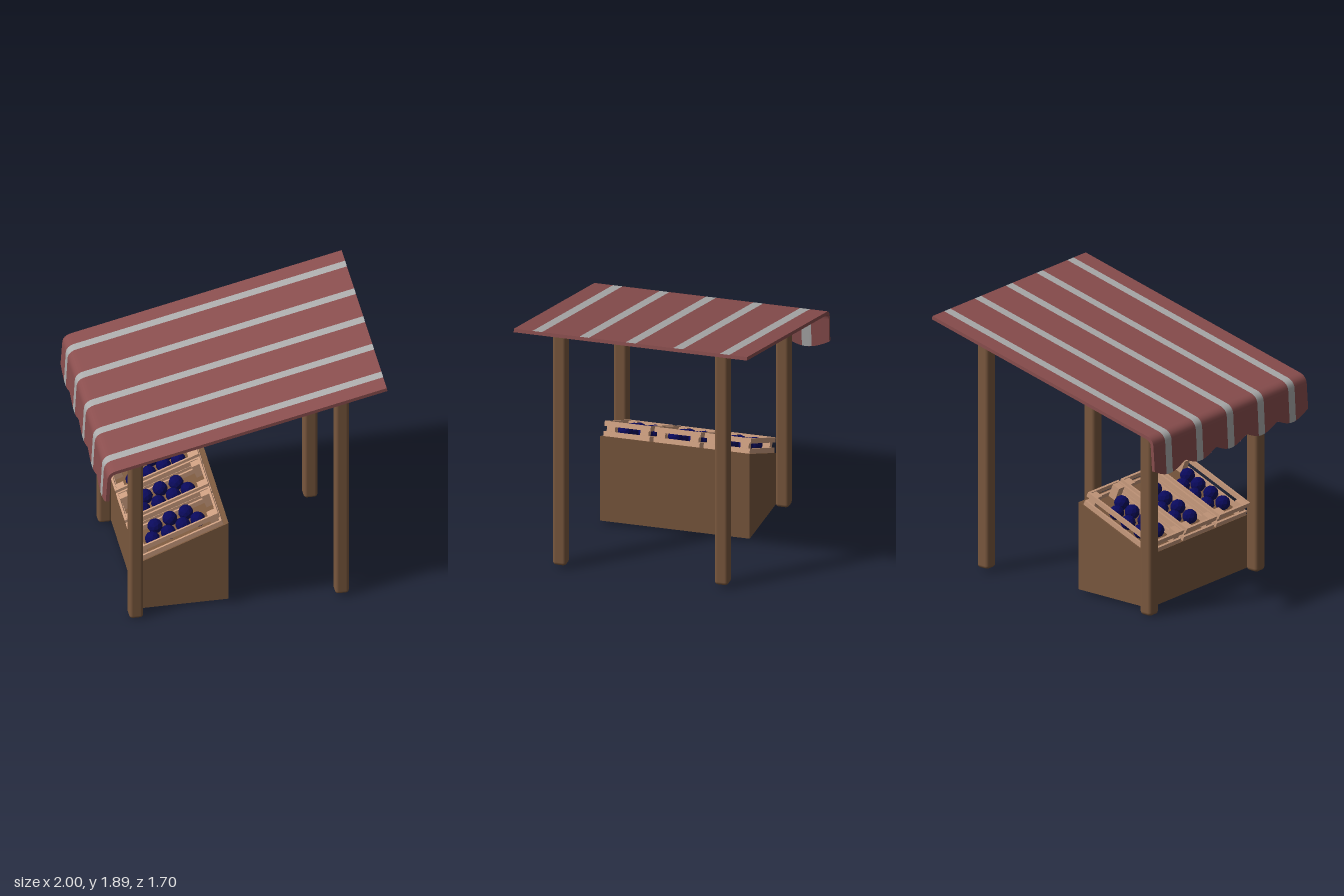
import * as THREE from 'three';
import { RoundedBoxGeometry } from 'three/addons/geometries/RoundedBoxGeometry.js';

const mat = (name, color, extra = {}) => {
  const m = new THREE.MeshStandardMaterial({ color, ...extra });
  m.name = name;
  return m;
};

export function createModel() {
  const wood = mat('brown wood', 0x7a583e);
  const crateWood = mat('pale crate wood', 0xcb9d7f);
  const red = mat('awning red', 0x8a4e4e);
  const grey = mat('awning pale grey', 0xacacac);
  const navy = mat('fruit navy', 0x0a0a5c, { flatShading: true });

  const model = new THREE.Group();
  model.name = 'marketStall';
  const add = (parent, name, geo, material, x = 0, y = 0, z = 0) => {
    const mesh = new THREE.Mesh(geo, material);
    mesh.name = name;
    mesh.position.set(x, y, z);
    parent.add(mesh);
    return mesh;
  };

  // Four posts, short ones under the low edge of the awning
  for (const [name, x, y0, y1] of [['shortPost', -0.74, 0, 1.46], ['tallPost', 0.72, 0.02, 1.8]]) {
    const geo = new RoundedBoxGeometry(0.1, y1 - y0, 0.1, 2, 0.025);
    for (const z of [-0.59, 0.59]) add(model, name, geo, wood, x, (y0 + y1) / 2, z);
  }

  // Counter with a sloping top
  const side = new THREE.Shape([[-0.7, 0.02], [-0.07, 0.02], [-0.07, 0.665], [-0.7, 0.41]]
    .map(([x, y]) => new THREE.Vector2(x, y)));
  add(model, 'counter', new THREE.ExtrudeGeometry(side, { depth: 1.09, bevelEnabled: false }), wood, 0, 0, -0.545);

  // Crates of fruit lying on the slope
  const L = 0.64, W = 0.336, T = 0.016;
  const fruit = new THREE.IcosahedronGeometry(0.054, 1);
  const fruitSpots = [[-0.18, 0.05], [-0.06, 0.055], [0.055, 0.045], [0.165, 0.055],
    [-0.135, -0.075], [-0.02, -0.085], [0.1, -0.075]];
  const longSlat = new THREE.BoxGeometry(L - 2 * T, 0.036, T);
  const endSlat = new THREE.BoxGeometry(T, 0.036, W);
  const corner = new THREE.BoxGeometry(0.06, 0.1, 0.06);
  for (const z of [-0.365, 0, 0.365]) {
    const crate = new THREE.Group();
    crate.name = 'fruitCrate';
    crate.position.set(-0.4, 0.531, z);
    crate.rotation.z = Math.atan2(0.255, 0.63);
    model.add(crate);
    for (const s of [-1, 1]) {
      for (const y of [0.018, 0.09]) {
        add(crate, 'longSlat', longSlat, crateWood, 0, y, s * (W - T) / 2);
        add(crate, 'endSlat', endSlat, crateWood, s * (L - T) / 2, y, 0);
      }
      for (const t of [-1, 1]) {
        add(crate, 'cornerBlock', corner, crateWood, s * (L / 2 - T - 0.03), 0.052, t * (W / 2 - T - 0.03));
      }
    }
    fruitSpots.forEach(([x, w], i) => {
      add(crate, 'fruit', fruit, navy, x, 0.05, w).rotation.set(i, i * 2, i * 0.7);
    });
  }

  // Awning profile, from the high edge over a rounded fold down to the valance
  const H = 0.85;
  const scallop = z => 1.18 - 0.055 * Math.abs(Math.cos(Math.PI * z / 0.34));
  const profile = (start, foldIn, foldMid, foldOut, bottomX) => {
    const fold = new THREE.QuadraticBezierCurve(...[foldIn, foldMid, foldOut].map(p => new THREE.Vector2(...p)));
    const pts = fold.getPoints(6);
    const near = (a, b) => a.clone().lerp(b, 0.03);
    const first = new THREE.Vector2(...start), last = new THREE.Vector2(bottomX, 1.12);
    return [first, near(pts[0], first), ...pts, near(pts[6], last), last];
  };
  const outer = profile([0.995, 1.888], [-0.925, 1.43], [-0.987, 1.415], [-0.988, 1.355], -1);
  const inner = profile([1, 1.863], [-0.925, 1.405], [-0.962, 1.396], [-0.963, 1.355], -0.975);

  // Grid spanned between rows of points; row(z) gives the points at that z
  const sheet = (zs, row, flip) => {
    const pos = [], idx = [];
    let n = 0;
    for (const z of zs) {
      const r = row(z);
      n = r.length;
      for (const p of r) pos.push(p.x, p.y, z);
    }
    for (let i = 0; i + 1 < zs.length; i++) {
      for (let j = 0; j + 1 < n; j++) {
        const a = i * n + j, b = a + 1, c = a + n, d = c + 1;
        if (flip) idx.push(a, b, c, b, d, c);
        else idx.push(a, c, b, b, c, d);
      }
    }
    const g = new THREE.BufferGeometry();
    g.setAttribute('position', new THREE.Float32BufferAttribute(pos, 3));
    g.setIndex(idx);
    g.computeVertexNormals();
    return g;
  };
  const steps = (a, b) => {
    const n = Math.max(2, Math.ceil((b - a) / 0.025));
    return Array.from({ length: n + 1 }, (_, i) => a + (b - a) * i / n);
  };
  const hang = pts => z => [...pts.slice(0, -1), new THREE.Vector2(pts[pts.length - 1].x, scallop(z))];
  // Alternating red and grey bands across the width
  const bands = (name, stripes, row, flip) => {
    const cuts = [-H, ...stripes.flat(), H];
    for (let i = 0; i + 1 < cuts.length; i++) {
      add(model, name + (i % 2 ? 'Stripe' : 'Cloth'), sheet(steps(cuts[i], cuts[i + 1]), row, flip), i % 2 ? grey : red);
    }
  };
  const narrow = [[-0.72, -0.65], [-0.38, -0.31], [-0.037, 0.035], [0.303, 0.373], [0.645, 0.715]];
  const wide = [[-0.715, -0.645], [-0.375, -0.305], [-0.03, 0.105], [0.31, 0.445], [0.65, 0.79]];
  const foldEnd = inner.length - 3;
  bands('awningTop', narrow, hang(outer), true);
  bands('awningUnderside', wide, () => inner.slice(0, foldEnd + 1), false);
  bands('valanceInside', narrow, z => hang(inner)(z).slice(foldEnd), false);

  // Red rims closing the cloth thickness
  red.side = THREE.DoubleSide;
  const all = steps(-H, H);
  add(model, 'awningHighRim', sheet(all, () => [outer[0], inner[0]], false), red);
  add(model, 'valanceRim', sheet(all, z => [hang(outer)(z).at(-1), hang(inner)(z).at(-1)], true), red);
  for (const z of [-H, H]) {
    const outline = [...hang(outer)(z), ...hang(inner)(z).reverse()];
    add(model, 'awningSideRim', new THREE.ShapeGeometry(new THREE.Shape(outline)), red, 0, 0, z);
  }
  return model;
}
